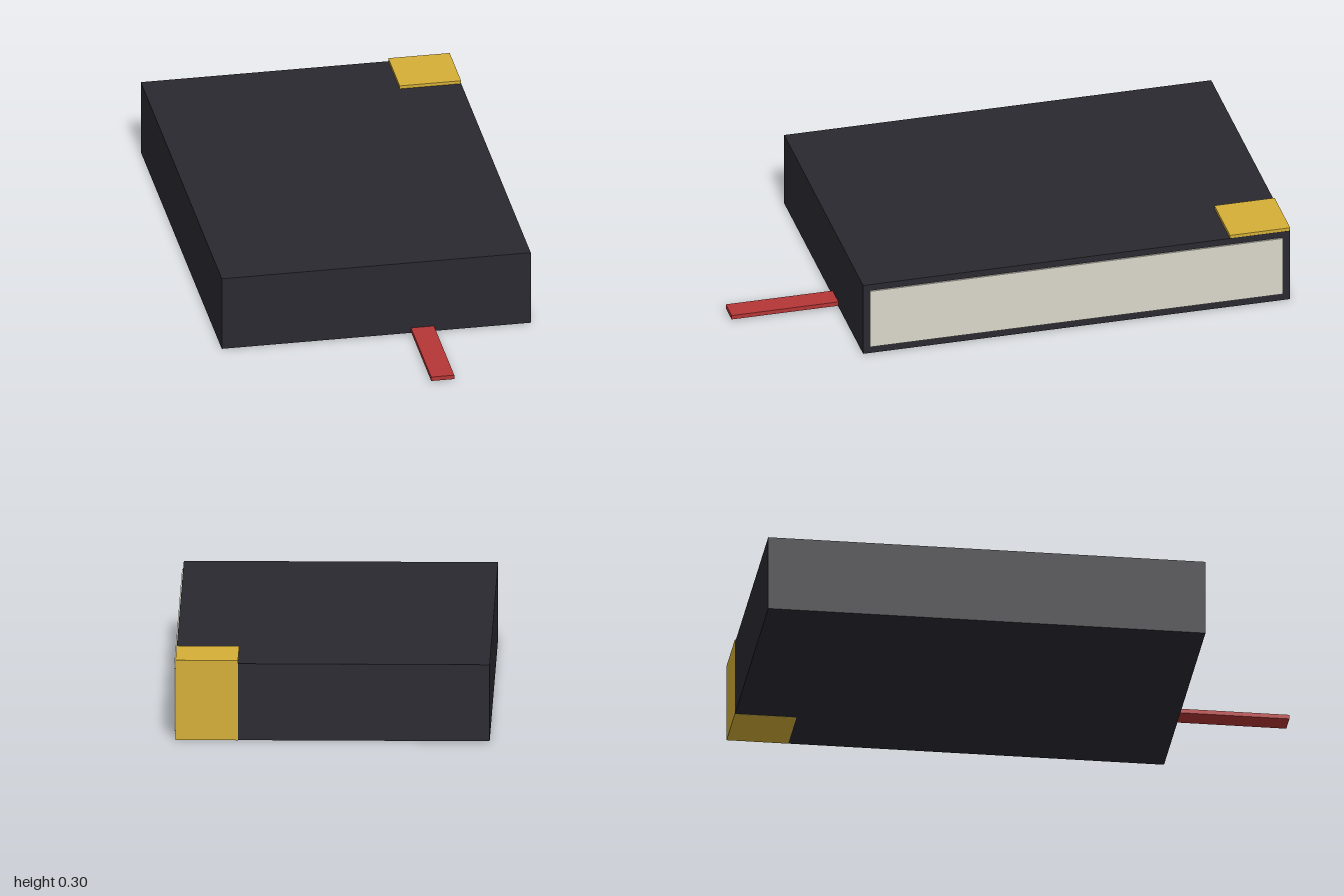
import * as THREE from 'three';

// Box given by its min and max corners
function block(name, color, [x0, y0, z0], [x1, y1, z1]) {
  const geometry = new THREE.BoxGeometry(x1 - x0, y1 - y0, z1 - z0);
  const mesh = new THREE.Mesh(geometry, new THREE.MeshStandardMaterial({ color }));
  mesh.name = name;
  mesh.position.set((x0 + x1) / 2, (y0 + y1) / 2, (z0 + z1) / 2);
  return mesh;
}

export function createModel() {
  const book = new THREE.Group();
  book.name = 'book';
  book.add(
    // Closed dark case
    block('cover', 0x2a2930, [-0.573, 0, -1], [0.567, 0.285, 0.6]),
    // Page block, just proud of the opening side
    block('pages', 0xdad7c9, [-0.54, 0.028, -0.972], [0.573, 0.26, 0.575]),
    // Metal corner guard, a hair proud of the back and bottom
    block('cornerGuard', 0xd4af37, [0.34, -0.0005, -1.0005], [0.5665, 0.297, -0.775]),
    // Ribbon bookmark hanging out of the front end
    block('ribbon', 0xb53535, [0.125, 0.004, 0.4], [0.21, 0.02, 1])
  );
  return book;
}
